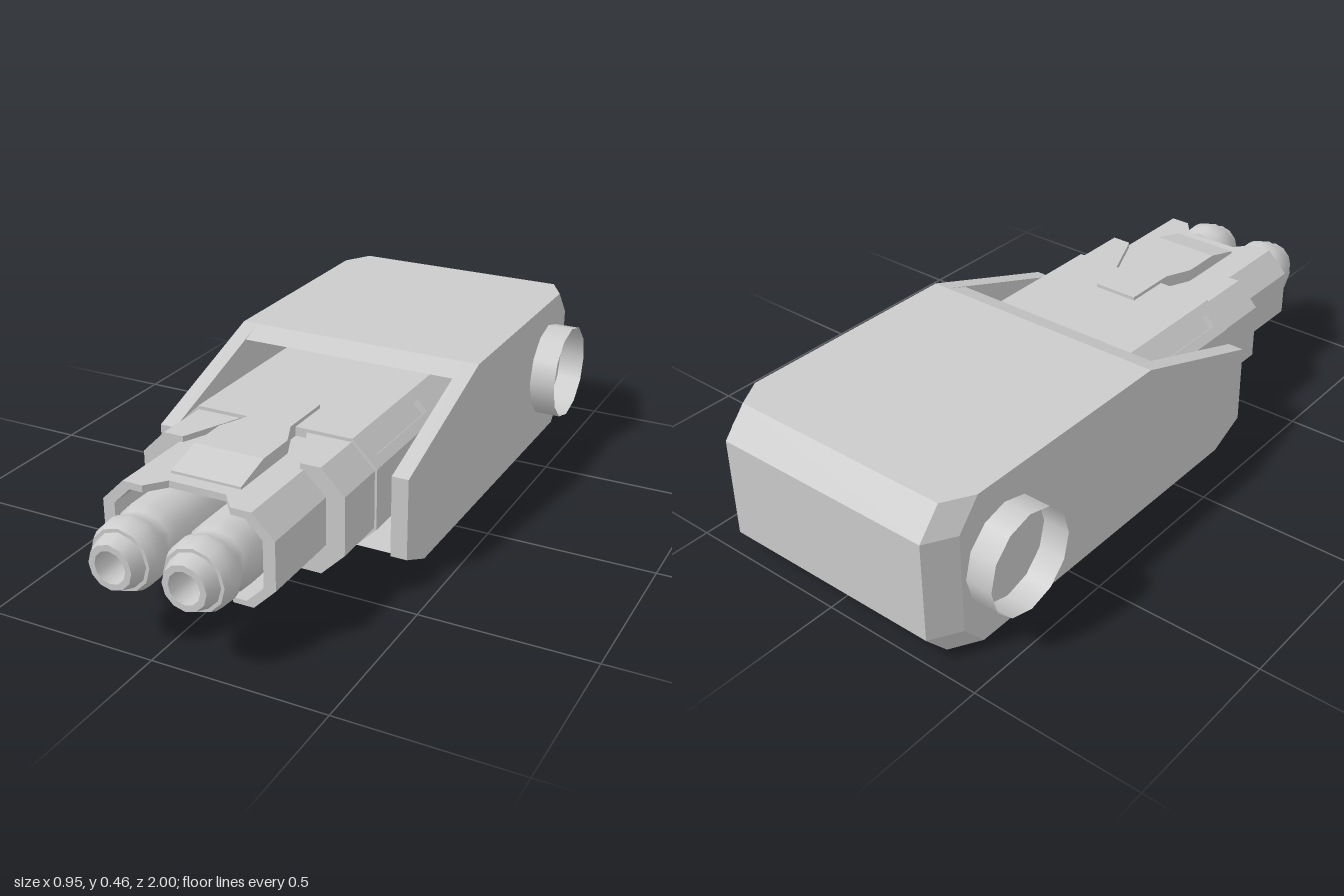
import * as THREE from 'three';

const grey = new THREE.MeshStandardMaterial({ color: 0xcccccc, flatShading: true });
const smooth = new THREE.MeshStandardMaterial({ color: 0xcccccc, side: THREE.DoubleSide });

// Solid between two matching outlines at depths w0 < w1
function loft(loopA, loopB, w0, w1) {
  let a = loopA.map(p => new THREE.Vector2(...p));
  let b = loopB.map(p => new THREE.Vector2(...p));
  if (THREE.ShapeUtils.area(a) < 0) { a = a.reverse(); b = b.reverse(); }
  const pos = [], n = a.length;
  const A = i => pos.push(a[i].x, a[i].y, w0);
  const B = i => pos.push(b[i].x, b[i].y, w1);
  for (let i = 0; i < n; i++) {
    const j = (i + 1) % n;
    A(i); A(j); B(j);
    A(i); B(j); B(i);
  }
  for (const [i, j, k] of THREE.ShapeUtils.triangulateShape(a, [])) { A(i); A(k); A(j); }
  for (const [i, j, k] of THREE.ShapeUtils.triangulateShape(b, [])) { B(i); B(j); B(k); }
  const g = new THREE.BufferGeometry();
  g.setAttribute('position', new THREE.Float32BufferAttribute(pos, 3));
  g.computeVertexNormals();
  return g;
}

// Right half of a chamfered rectangle, starting and ending at x = cut
const half = (cut, hw, y0, y1, c) => [
  [cut, y0], [hw - c, y0], [hw, y0 + c], [hw, y1 - c], [hw - c, y1], [cut, y1]];
const mirror = pts => pts.map(([x, y]) => [-x, y]);
const octagon = (hw, y0, y1, c) => {
  const h = half(0, hw, y0, y1, c).slice(1, 5);
  return [...h, ...mirror(h).reverse()];
};

export function createModel() {
  const model = new THREE.Group();
  const add = (name, geo, mat = grey) => {
    const m = new THREE.Mesh(geo, mat);
    m.name = name;
    model.add(m);
    return m;
  };
  const prism = (name, loop, z0, z1) => add(name, loft(loop, loop, z0, z1));

  // Housing: outlines are (-z, y), lofted across x
  const across = (name, a, b, x0, x1) => add(name, loft(a, b, x0, x1).rotateY(Math.PI / 2));
  const side = back => [[-0.34, 0.055], [-0.22, 0], [0.93 - back, 0], [1 - back, 0.08],
    [1 - back, 0.38], [0.93 - back, 0.462], [0.14, 0.462], [-0.34, 0.3]];
  const inner = side(0), outer = side(0.085);
  across('housingWallLeft', inner, outer, 0.345, 0.395);
  across('housingWallRight', outer, inner, -0.395, -0.345);
  const core = [[-0.28, 0.027], [-0.22, 0], [0.93, 0], [1, 0.08], [1, 0.38], [0.93, 0.462],
    [0.14, 0.462], [0.065, 0.435], [0.5, 0.435], [0.5, 0.027]];
  across('housingShell', core, core, -0.345, 0.345);

  // Open rings on both sides of the housing
  for (const s of [-1, 1]) {
    const ring = add('sideRing', new THREE.CylinderGeometry(0.15, 0.15, 0.082, 12, 1, true).rotateZ(Math.PI / 2), smooth);
    ring.position.set(s * 0.435, 0.233, -0.75);
  }

  // Plug body, with a shallow slot along each upper chamfer
  const bodyLoop = octagon(0.317, 0.07, 0.402, 0.075);
  const slotHalf = [[0.242, 0.07], [0.317, 0.145], [0.317, 0.327], [0.295, 0.349], [0.281, 0.335],
    [0.251, 0.365], [0.265, 0.379], [0.242, 0.402]];
  prism('plugBodyRear', bodyLoop, -0.5, 0);
  prism('plugBodySlotted', [...slotHalf, ...mirror(slotHalf).reverse()], 0, 0.33);
  prism('plugBodyFront', bodyLoop, 0.33, 0.372);

  // Nose: solid root, then a hollow sleeve
  const noseLoop = octagon(0.255, 0.105, 0.375, 0.065);
  prism('noseRoot', noseLoop, 0.372, 0.6);
  const toVec = pts => pts.map(p => new THREE.Vector2(...p));
  const sleeve = new THREE.Shape(toVec(noseLoop));
  sleeve.holes.push(new THREE.Path(toVec(octagon(0.22, 0.12, 0.355, 0.05)).reverse()));
  add('noseSleeve', new THREE.ExtrudeGeometry(sleeve, { depth: 0.16, bevelEnabled: false })).position.z = 0.6;

  // Collar cheeks and nose lips, both cut away towards the front
  const lip = cut => [...half(cut, 0.255, 0.105, 0.375, 0.065),
    ...half(cut, 0.22, 0.12, 0.355, 0.05).reverse()];
  for (const flip of [p => p, mirror]) {
    add('collarCheek', loft(flip(half(0.105, 0.31, 0.08, 0.392, 0.07)),
      flip(half(0.18, 0.31, 0.08, 0.392, 0.07)), 0.372, 0.548));
    add('noseLip', loft(flip(lip(0.085)), flip(lip(0.13)), 0.76, 0.815));
  }

  // Latch tab on top: narrow tail, widening neck, sloped thumb end
  const bar = (w, y1) => [[-w, 0.37], [w, 0.37], [w, y1], [-w, y1]];
  const tab = [[0.23, 0.07, 0.413], [0.4, 0.07, 0.413], [0.48, 0.105, 0.413],
    [0.605, 0.105, 0.413], [0.72, 0.105, 0.382]];
  for (let i = 0; i < tab.length - 1; i++) {
    const [z0, w0, t0] = tab[i], [z1, w1, t1] = tab[i + 1];
    add('latchTab', loft(bar(w0, t0), bar(w1, t1), z0, z1));
  }

  // Twin hollow tips
  const profile = [[0.1, 0.6], [0.1, 0.825], [0.088, 0.85], [0.086, 0.87], [0.096, 0.888], [0.1, 0.91],
    [0.097, 0.935], [0.088, 0.957], [0.088, 0.957], [0.078, 0.957], [0.078, 0.957], [0.064, 1],
    [0.064, 1], [0.046, 1], [0.046, 1], [0.046, 0.88], [0.046, 0.88], [0, 0.88]];
  for (const s of [-1, 1]) {
    const tip = add('plugTip', new THREE.LatheGeometry(toVec(profile), 12).rotateX(Math.PI / 2), smooth);
    tip.position.set(s * 0.108, 0.236, 0);
  }
  return model;
}
